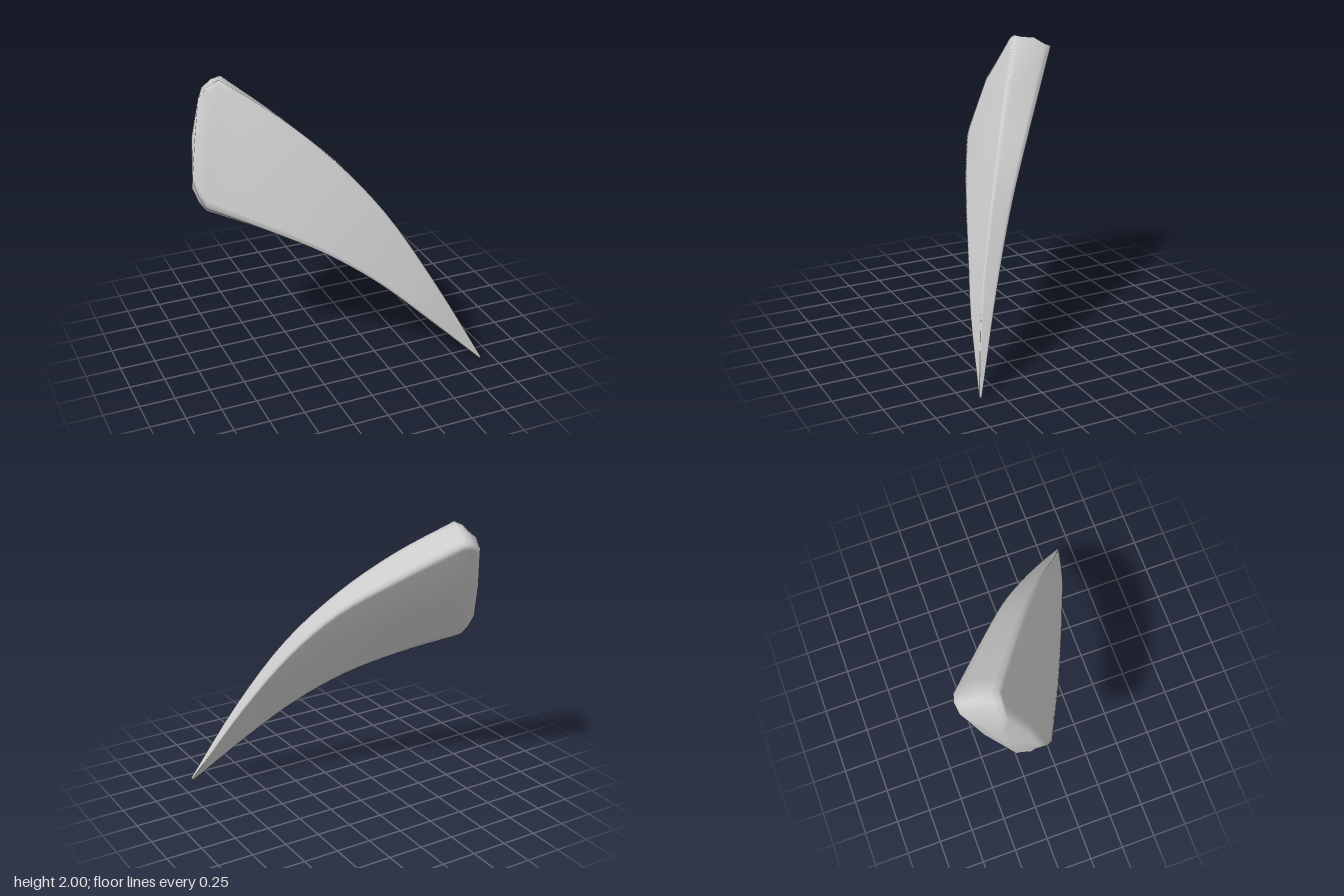
import * as THREE from 'three';
import { mergeVertices } from 'three/addons/utils/BufferGeometryUtils.js';

const V = (p) => new THREE.Vector3(...p);
const mean = (pts) => pts.reduce((s, p) => s.add(p), new THREE.Vector3()).divideScalar(pts.length);

// Four long ridges, each running from the blunt base to the tip
const RIDGES = [
  // upper front
  [[-0.64, 2, -0.38], [-0.31, 1.77, -0.16], [0, 1.49, 0.05], [0.305, 1.12, 0.265], [0.6, 0.61, 0.48], [0.9, 0.03, 0.653]],
  // upper back
  [[-0.54, 1.91, -0.64], [-0.21, 1.655, -0.365], [0.1, 1.39, -0.1], [0.34, 1.07, 0.13], [0.6, 0.62, 0.37], [0.906, 0.015, 0.637]],
  // lower back
  [[-0.79, 1.12, -0.3], [-0.42, 0.98, -0.07], [-0.1, 0.83, 0.115], [0.2, 0.63, 0.285], [0.5, 0.37, 0.45], [0.904, 0, 0.642]],
  // lower front
  [[-0.86, 1.21, -0.09], [-0.48, 1.05, 0.1], [-0.15, 0.89, 0.25], [0.18, 0.67, 0.39], [0.49, 0.4, 0.52], [0.895, 0.015, 0.652]],
].map((pts) => new THREE.CatmullRomCurve3(pts.map(V)));

// Corners and middle of the smaller end face at the base
const CAP = [[-0.79, 1.89, -0.385], [-0.665, 1.87, -0.645], [-0.87, 1.26, -0.35], [-0.915, 1.38, -0.195]].map(V);
const CAP_MIDDLE = V([-0.835, 1.6, -0.43]);

// Soften each corner of a four-cornered section and bow its narrow and broad edges outward
function softRing(corners, bows) {
  const r = 0.22 * Math.min(corners[0].distanceTo(corners[1]), corners[2].distanceTo(corners[3]));
  const centre = mean(corners);
  return corners.flatMap((c, i) => {
    const toward = (o) => o.clone().sub(c).setLength(r).add(c);
    const following = corners[(i + 1) % 4];
    const prev = toward(corners[(i + 3) % 4]);
    const next = toward(following);
    const tip = c.clone().lerp(mean([prev, next]), 0.12);
    const edge = mean([c, following]);
    edge.add(edge.clone().sub(centre).setLength(bows[i % 2]));
    return [prev, tip, next, edge];
  });
}

// Closed skin through a list of rings, with a point at either end
function loft(start, rings, end) {
  const n = rings[0].length;
  const last = rings.length * n + 1;
  const index = [];
  for (let j = 0; j < n; j++) {
    const k = (j + 1) % n;
    index.push(0, 1 + j, 1 + k);
    for (let i = 0; i < rings.length - 1; i++) {
      const a = 1 + i * n + j, b = 1 + i * n + k;
      index.push(b, a, a + n, b, a + n, b + n);
    }
    index.push(last - n + k, last - n + j, last);
  }
  const geo = new THREE.BufferGeometry().setFromPoints([start, ...rings.flat(), end]);
  geo.setIndex(index);
  const merged = mergeVertices(geo, 1e-5);
  merged.computeVertexNormals();
  return merged;
}

export function createModel() {
  const steps = 20;
  const sections = [];
  for (let i = 0; i <= steps; i++) sections.push(RIDGES.map((r) => r.getPoint(i / steps)));

  // Rounded shoulder between the body and the end face
  const centre = mean([...sections[0], ...CAP]);
  const shoulder = sections[0].map((p, i) => {
    const m = mean([p, CAP[i]]);
    return m.add(m.clone().sub(centre).multiplyScalar(0.05));
  });

  // Edges bow most at the base and flatten along the body
  const fade = (i, length) => 0.03 * Math.max(0, 1 - i / length);
  const rings = [CAP, shoulder, ...sections].map((s, i) => softRing(s, [fade(i, 8), fade(i, 16)]));
  const geometry = loft(CAP_MIDDLE, rings, mean(sections[steps]));

  const claw = new THREE.Mesh(geometry, new THREE.MeshStandardMaterial({ color: 0xcccccc }));
  claw.name = 'curvedClaw';
  const group = new THREE.Group();
  group.name = 'claw';
  group.add(claw);
  return group;
}
